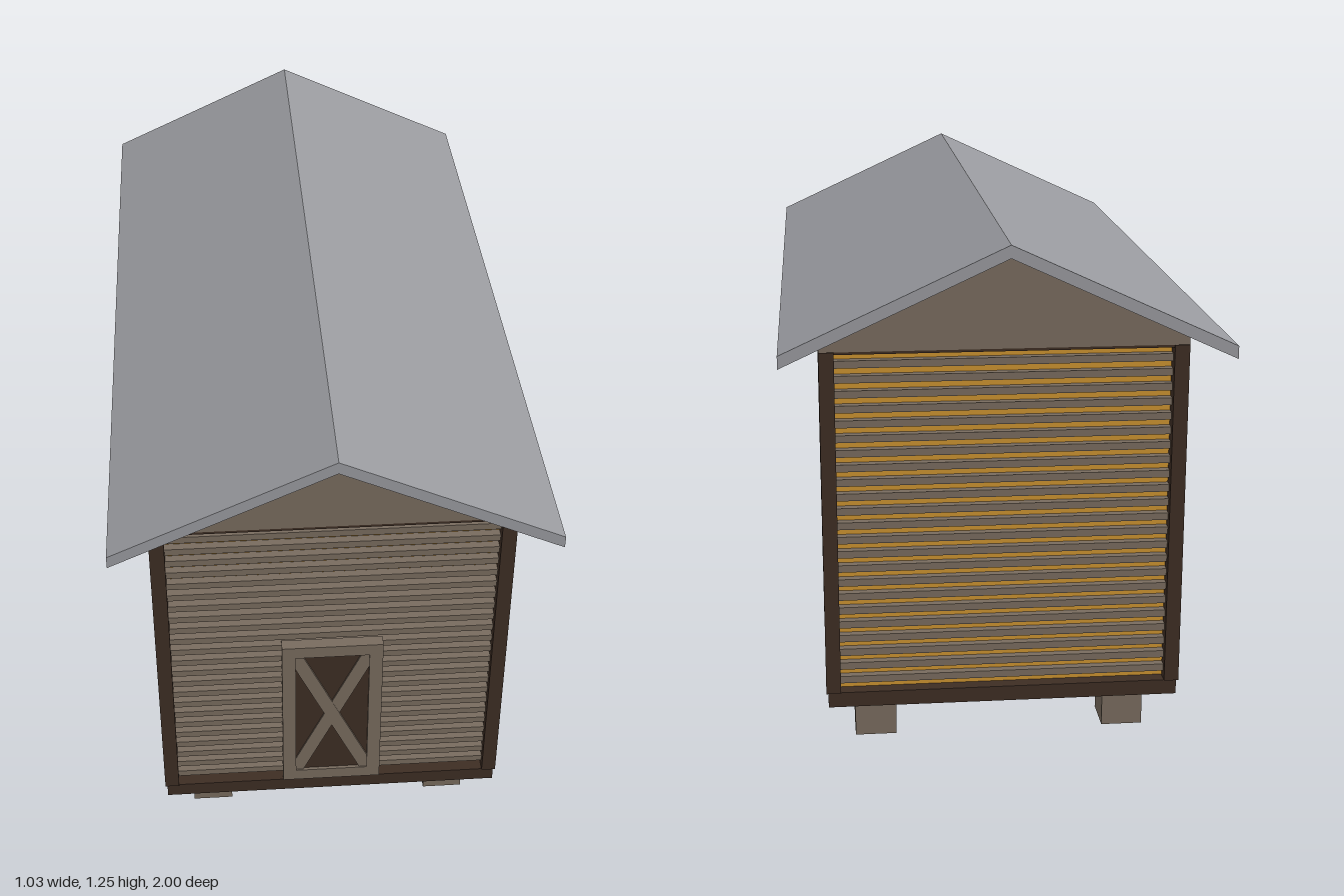
import * as THREE from 'three';

const mat = (name, color) => Object.assign(new THREE.MeshStandardMaterial({ color }), { name });

export function createModel() {
  const root = new THREE.Group();
  root.name = 'slattedStoreHouse';
  const wood = mat('weatheredWood', 0x786b5e);
  const dark = mat('darkTimber', 0x3d2d23);
  const corn = mat('goldenCorn', 0xcb9230);
  const metal = mat('greyRoof', 0x999a9f);

  const add = (name, geometry, material, x = 0, y = 0, z = 0, parent = root) => {
    const mesh = new THREE.Mesh(geometry, material);
    mesh.name = name;
    mesh.position.set(x, y, z);
    parent.add(mesh);
    return mesh;
  };
  const box = (name, w, h, d, material, x, y, z, parent) =>
    add(name, new THREE.BoxGeometry(w, h, d), material, x, y, z, parent);
  // Extrude an outline along z, centred on z = 0
  const prism = (name, points, depth, material) => {
    const shape = new THREE.Shape(points.map(([x, y]) => new THREE.Vector2(x, y)));
    const geometry = new THREE.ExtrudeGeometry(shape, { depth, bevelEnabled: false });
    return add(name, geometry, material, 0, 0, -depth / 2);
  };

  // Footings and floor
  for (const x of [-0.305, 0.305])
    for (const z of [-0.767, 0, 0.767]) box('footing', 0.1, 0.12, 0.1, wood, x, 0.06, z);
  box('floor', 0.84, 0.037, 1.81, dark, 0, 0.1375, 0);

  // Stored corn, seen between the slats
  box('cornFill', 0.784, 0.838, 1.744, corn, 0, 0.573, 0);

  // Horizontal wall slats
  const slats = new THREE.Group();
  slats.name = 'wallSlats';
  root.add(slats);
  for (let i = 0; i < 23; i++) {
    const y = 0.183 + i * 0.0353;
    for (const s of [-1, 1]) {
      box('endSlat', 0.79, 0.0175, 0.02, wood, 0, y, s * 0.882, slats);
      box('sideSlat', 0.02, 0.0175, 1.76, wood, s * 0.402, y, 0, slats);
    }
  }

  // Corner and side posts
  for (const s of [-1, 1]) {
    for (const z of [-0.891, 0.891]) box('cornerPost', 0.035, 0.837, 0.034, dark, s * 0.4075, 0.5735, z);
    for (const z of [-0.444, 0, 0.444]) box('sidePost', 0.035, 0.837, 0.03, dark, s * 0.4075, 0.5735, z);
    box('topRail', 0.78, 0.006, 0.03, dark, 0, 0.989, s * 0.89);
  }

  // Gable block and overhanging roof
  prism('gable', [[-0.425, 0.992], [0.425, 0.992], [0.425, 1.012], [0, 1.209], [-0.425, 1.012]], 1.81, wood);
  prism('roof', [[-0.515, 0.98], [0, 1.218], [0.515, 0.98], [0.515, 1.01], [0, 1.248], [-0.515, 1.01]], 2, metal);

  // Front door with crossed braces
  const door = new THREE.Group();
  door.name = 'door';
  door.position.set(0, 0.391, 0.9);
  root.add(door);
  box('doorPanel', 0.22, 0.44, 0.02, dark, 0, 0, -0.006, door);
  for (const s of [-1, 1]) {
    box('doorStile', 0.033, 0.46, 0.03, wood, s * 0.1065, 0, -0.003, door);
    box('doorRail', 0.18, 0.033, 0.03, wood, 0, s * 0.2135, -0.003, door);
    const brace = box('doorBrace', 0.034, 0.44, 0.012, wood, 0, 0, 0.003 + s * 0.0005, door);
    brace.rotation.z = s * Math.atan2(0.18, 0.394);
  }
  return root;
}
